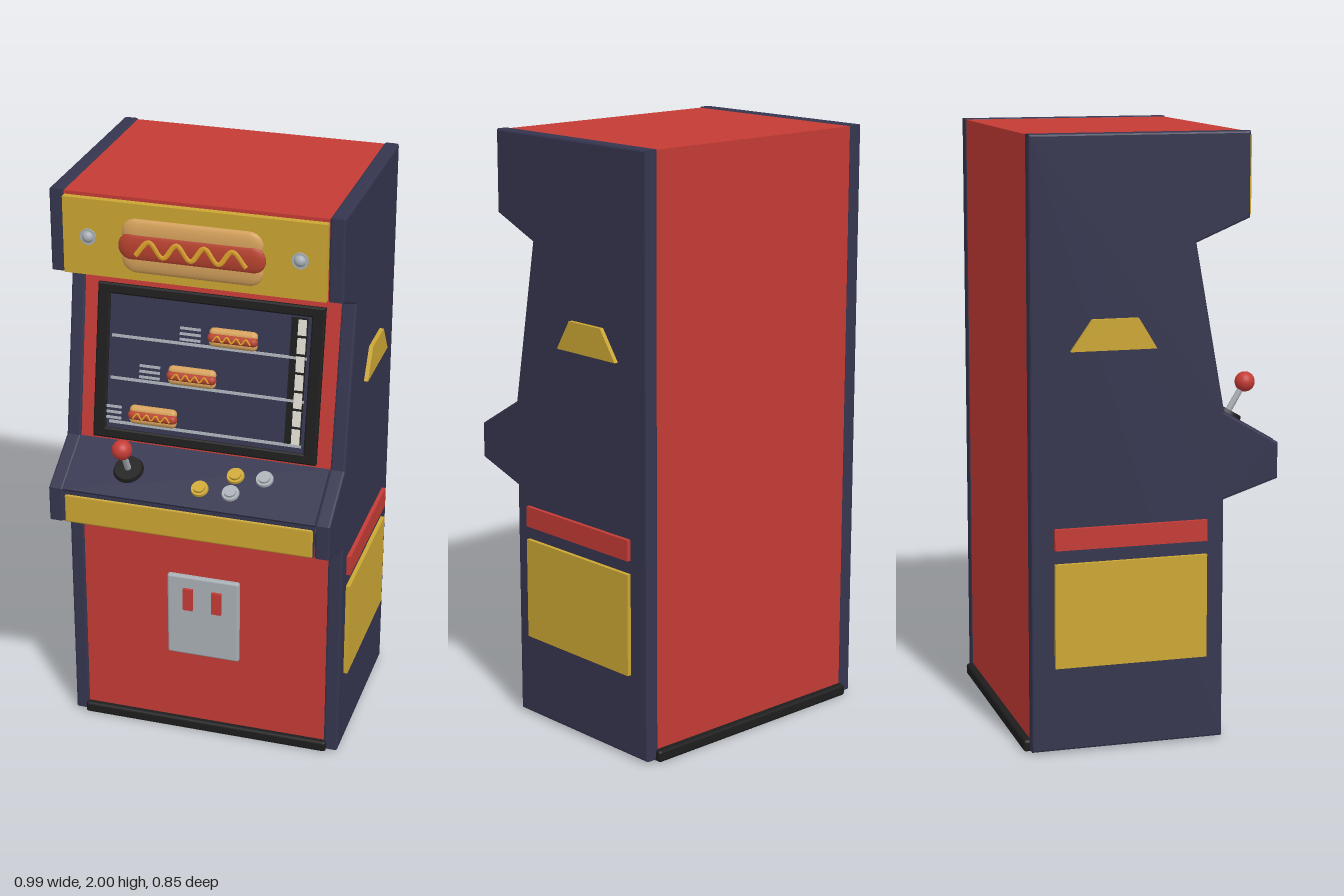
import * as THREE from 'three';
import { RoundedBoxGeometry } from 'three/addons/geometries/RoundedBoxGeometry.js';

const mat = (name, color) => {
  const m = new THREE.MeshStandardMaterial({ color });
  m.name = name;
  return m;
};

export function createModel() {
  const navy = mat('navy', 0x35354f), red = mat('red', 0xc43b35), yellow = mat('yellow', 0xcba633);
  const black = mat('black', 0x1d1d1d), silver = mat('silver', 0xa8afb5), bun = mat('bun', 0xd6a25c);
  const sausage = mat('sausage', 0xb8432f), mustard = mat('mustard', 0xe0a52c), white = mat('white', 0xdedbd0);

  const model = new THREE.Group();
  model.name = 'arcadeCabinet';

  const add = (parent, name, geometry, material, x = 0, y = 0, z = 0) => {
    const mesh = new THREE.Mesh(geometry, material);
    mesh.name = name;
    mesh.position.set(x, y, z);
    parent.add(mesh);
    return mesh;
  };
  const box = (parent, name, material, w, h, d, x, y, z) =>
    add(parent, name, new THREE.BoxGeometry(w, h, d), material, x, y, z);
  const rounded = (parent, name, material, w, h, d, r, x, y, z) =>
    add(parent, name, new RoundedBoxGeometry(w, h, d, 2, r), material, x, y, z);
  const group = (parent, name, x, y, z, tilt = 0) => {
    const g = new THREE.Group();
    g.name = name;
    g.position.set(x, y, z);
    g.rotation.x = tilt;
    parent.add(g);
    return g;
  };

  // Extrudes a (z, y) outline across x, centred on x = 0
  const slab = (points, width, bevel = 0) => {
    const shape = new THREE.Shape(points.map(([z, y]) => new THREE.Vector2(z, y)));
    const g = new THREE.ExtrudeGeometry(shape, {
      depth: width - 2 * bevel, bevelEnabled: bevel > 0, bevelSize: bevel,
      bevelThickness: bevel, bevelOffset: -bevel, bevelSegments: 2,
    });
    return g.translate(0, 0, bevel - width / 2).rotateY(-Math.PI / 2);
  };

  // Side panels and the red body between them
  const outline = [[-0.41, 0.008], [0.235, 0.008], [0.235, 0.81], [0.42, 0.87], [0.42, 0.99],
    [0.235, 1.1], [0.137, 1.65], [0.315, 1.725], [0.315, 2], [-0.41, 2]];
  const body = [[-0.406, 0.02], [0.23, 0.02], [0.23, 0.81], [0.412, 0.868], [0.412, 0.98],
    [0.23, 1.09], [0.134, 1.652], [0.312, 1.727], [0.312, 1.997], [-0.406, 1.997]];
  add(model, 'body', slab(body, 0.862), red);
  rounded(model, 'base', black, 0.88, 0.04, 0.68, 0.01, 0, 0.02, -0.09);

  for (const s of [-1, 1]) {
    const name = s > 0 ? 'left' : 'right';
    add(model, name + 'SidePanel', slab(outline, 0.05, 0.007), navy, s * 0.455);
    // Painted side decoration
    const x = s * 0.487;
    box(model, name + 'SideStripe', red, 0.014, 0.07, 0.51, x, 0.715, -0.08);
    box(model, name + 'SideBlock', yellow, 0.014, 0.345, 0.51, x, 0.462, -0.08);
    add(model, name + 'SideTrapezoid',
      slab([[-0.28, 1.32], [0.003, 1.32], [-0.058, 1.42], [-0.21, 1.42]], 0.014), yellow, x);
  }

  // Hot dog: two bun halves, a sausage and a wavy mustard line
  const hotDog = (parent, x, y, z, size, depth) => {
    const g = group(parent, 'hotDog', x, y, z);
    g.scale.set(size, size, size * depth);
    const capsule = (r, length) => new THREE.CapsuleGeometry(r, length - 2 * r, 6, 16).rotateZ(Math.PI / 2);
    for (const s of [-1, 1]) add(g, 'bunHalf', capsule(0.046, 0.46), bun, 0, s * 0.044, 0.02);
    add(g, 'sausage', capsule(0.046, 0.48), sausage, 0, 0, 0.045);
    const wave = [];
    for (let i = 0; i <= 8; i++) {
      wave.push(new THREE.Vector3(-0.18 + i * 0.045, i % 2 ? 0.024 : -0.024, 0.087));
    }
    add(g, 'mustardLine', new THREE.TubeGeometry(new THREE.CatmullRomCurve3(wave), 64, 0.009, 6), mustard);
  };

  // Marquee
  box(model, 'marquee', yellow, 0.858, 0.255, 0.024, 0, 1.858, 0.323);
  hotDog(model, 0, 1.85, 0.336, 1, 0.3);
  for (const s of [-1, 1]) {
    const bolt = group(model, 'marqueeBolt', s * 0.345, 1.86, 0.335);
    const rim = add(bolt, 'boltRim', new THREE.CylinderGeometry(0.027, 0.027, 0.01, 16), silver);
    rim.rotation.x = Math.PI / 2;
    add(bolt, 'boltHead', new THREE.SphereGeometry(0.02, 16, 10), silver);
  }

  // Tilted screen with its frame
  const screen = group(model, 'screen', 0, 1.37, 0.187, -0.177);
  const rect = (Type, w, h) => {
    const p = new Type();
    p.moveTo(-w / 2, -h / 2);
    p.lineTo(w / 2, -h / 2);
    p.lineTo(w / 2, h / 2);
    p.lineTo(-w / 2, h / 2);
    p.closePath();
    return p;
  };
  const frame = rect(THREE.Shape, 0.756, 0.516);
  frame.holes.push(rect(THREE.Path, 0.69, 0.468));
  add(screen, 'screenFrame', new THREE.ExtrudeGeometry(frame, {
    depth: 0.016, bevelSize: 0.005, bevelThickness: 0.004, bevelSegments: 1,
  }), black, 0, -0.002, -0.006);
  box(screen, 'display', navy, 0.7, 0.48, 0.008, 0, 0, 0);

  // Three conveyor rails, each with a hot dog and speed lines
  const rails = [[0.087, 0.085], [-0.057, -0.048], [-0.208, -0.175]];
  for (const [y, x] of rails) {
    box(screen, 'rail', silver, 0.66, 0.009, 0.008, 0, y, 0.006);
    hotDog(screen, x, y + 0.037, 0.006, 0.354, 1);
    for (let i = 0; i < 3; i++) {
      box(screen, 'speedLine', silver, 0.07, 0.008, 0.008, x - 0.148, y + 0.014 + i * 0.019, 0.006);
    }
  }
  // Counter strip at the screen's edge
  box(screen, 'counterStrip', black, 0.055, 0.43, 0.006, 0.3, 0.005, 0.005);
  for (let i = 0; i < 7; i++) {
    box(screen, 'counterTile', white, 0.028, 0.052, 0.006, 0.31, -0.177 + i * 0.061, 0.008);
  }

  // Control deck
  box(model, 'deckLip', navy, 0.858, 0.11, 0.02, 0, 0.928, 0.409);
  rounded(model, 'deckFront', yellow, 0.85, 0.105, 0.02, 0.008, 0, 0.921, 0.413);
  const deck = group(model, 'controlDeck', 0, 1.045, 0.3275, 0.537);
  box(deck, 'deckTop', navy, 0.858, 0.02, 0.216, 0, -0.008, 0);

  const buttons = [[0.025, 0.035, yellow], [0.13, -0.032, yellow], [0.13, 0.035, silver], [0.228, -0.035, silver]];
  for (const [x, z, material] of buttons) {
    add(deck, 'buttonRing', new THREE.CylinderGeometry(0.028, 0.03, 0.01, 20), material, x, 0.006, z);
    add(deck, 'button', new THREE.CylinderGeometry(0.02, 0.021, 0.016, 20), material, x, 0.012, z);
  }

  const joystick = group(deck, 'joystick', -0.23, 0, 0);
  add(joystick, 'joystickBase', new THREE.CylinderGeometry(0.046, 0.052, 0.014, 24), black, 0, 0.008, 0);
  add(joystick, 'joystickShaft', new THREE.CylinderGeometry(0.01, 0.011, 0.11, 12), silver, 0, 0.06, 0);
  add(joystick, 'joystickBall', new THREE.SphereGeometry(0.034, 24, 16), red, 0, 0.123, 0);

  // Coin door
  rounded(model, 'coinDoor', silver, 0.255, 0.31, 0.024, 0.008, -0.002, 0.465, 0.236);
  for (const x of [-0.053, 0.048]) {
    box(model, 'coinSlot', red, 0.034, 0.082, 0.014, x, 0.535, 0.252);
  }

  return model;
}
